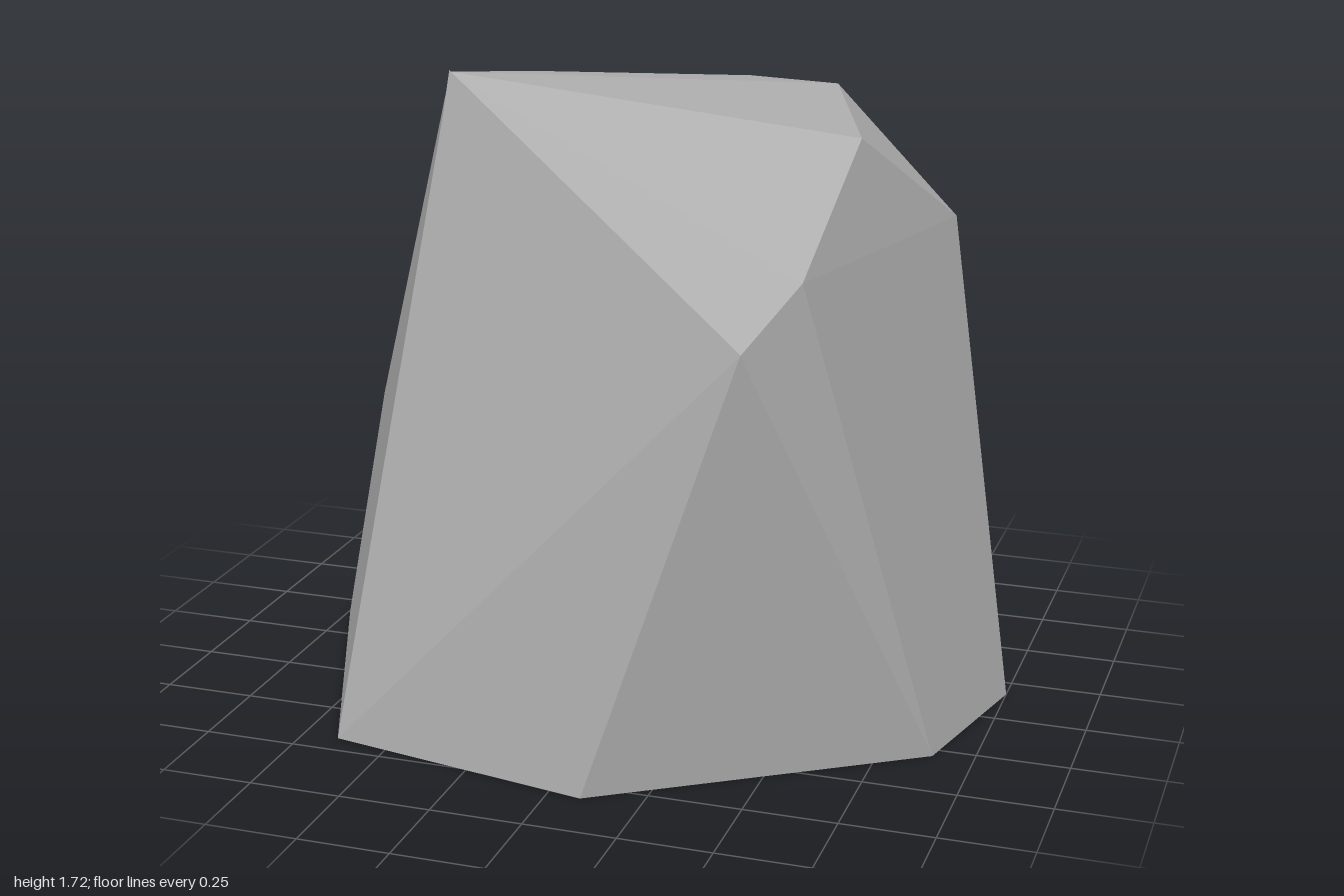
import * as THREE from 'three';
import { ConvexGeometry } from 'three/addons/geometries/ConvexGeometry.js';

const v = (p) => new THREE.Vector3(...p);

export function createModel() {
  const group = new THREE.Group();
  group.name = 'boulder';
  const stone = new THREE.MeshStandardMaterial({ color: 0xadadad, flatShading: true });
  stone.name = 'grey stone';

  // Rim corners shared by the body and the chipped plates
  const peak = [-0.51, 1.72, 0.13];
  const rimFront = [0.48, 1.19, 0.74];
  const rimRight = [0.79, 1.33, -0.28];
  const rimBackRight = [0.41, 1.64, -0.45];
  const rimBack = [0.13, 1.63, -0.55];
  const rimBackLeft = [-0.54, 1.6, -0.58];
  const rimLeft = [-0.82, 1.23, -0.55];

  // Faceted body: seven-sided foot, two shoulder corners, irregular crown
  const foot = [[-0.65, 0.68], [0.09, 0.82], [0.89, 0.29], [1, -0.17],
    [0.53, -0.75], [-0.37, -0.83], [-1, -0.17]].map(([x, z]) => [x, 0, z]);
  const shoulder = [[-0.58, 0.6, -0.83], [-1, 0.6, -0.47]];
  const crown = [peak, [0.63, 1.62, 0.17], [0.6, 1.35, 0.62], rimFront,
    rimRight, rimBackRight, rimBack, rimBackLeft, rimLeft];
  const body = new THREE.Mesh(
    new ConvexGeometry([...foot, ...shoulder, ...crown].map(v)), stone);
  body.name = 'rockBody';
  group.add(body);

  // Snap a point to just outside the body
  const centre = new THREE.Vector3(0, 0.8, 0);
  const ray = new THREE.Raycaster();
  const snap = (p) => {
    const out = v(p).sub(centre).normalize();
    ray.set(centre.clone().addScaledVector(out, 4), out.clone().negate());
    const hit = ray.intersectObject(body)[0];
    return (hit ? hit.point : v(p)).addScaledVector(out, 0.005);
  };

  // Thin stone flakes hanging below the rim
  const flakes = {
    frontFlake: [peak, [-0.54, 1.24, 0.3], [0.18, 0.93, 0.71], rimFront],
    leftFlake: [rimLeft, [-0.87, 1.03, -0.49], [-0.63, 1.41, -0.05], peak],
    backLeftFlake: [rimBackLeft, [-0.62, 1.12, -0.68], [-0.77, 1.13, -0.61], rimLeft],
    backFlake: [rimBack, [-0.02, 1.4, -0.6], [-0.49, 1.13, -0.7], rimBackLeft],
    backRightFlake: [rimBackRight, [0.4, 1.28, -0.54], [0.23, 1.28, -0.6], rimBack],
    rightFlake: [rimRight, [0.75, 1.0, -0.41], [0.49, 1.28, -0.51], rimBackRight],
  };
  for (const [name, corners] of Object.entries(flakes)) {
    const [a, b, c, d] = corners.map(snap);
    const geometry = new THREE.BufferGeometry().setFromPoints([a, b, c, a, c, d]);
    geometry.computeVertexNormals();
    const flake = new THREE.Mesh(geometry, stone);
    flake.name = name;
    group.add(flake);
  }
  return group;
}
